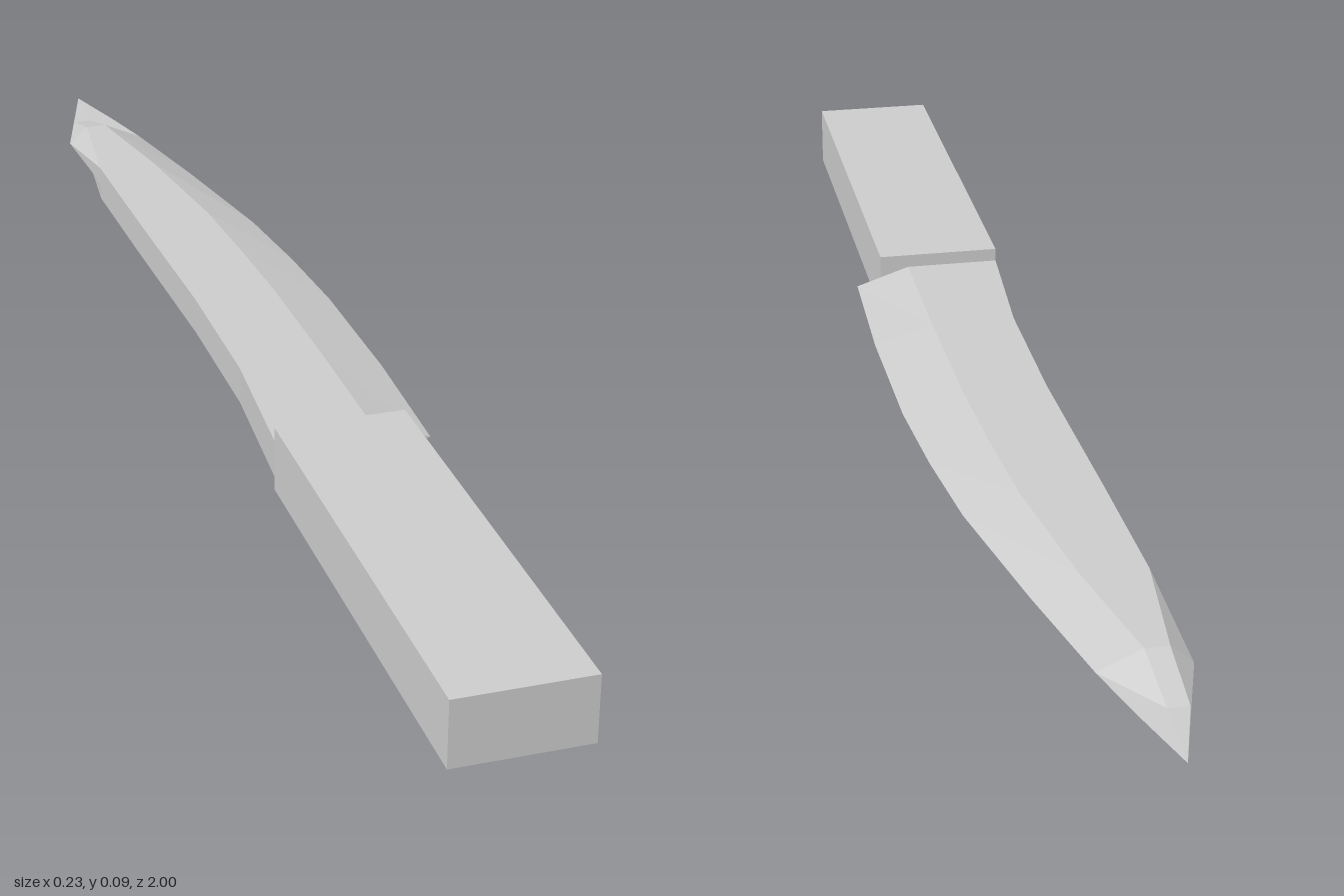
import * as THREE from 'three';

const MID = 0.045; // height of the blade's centre plane

// Stations from handle to tip: z, spine centre x, spine corner x, ridge x, edge x, half thickness
const STATIONS = [
  [0.345, -0.105, -0.105, 0.03, 0.108, 0.026],
  [0.13, -0.09, -0.09, 0.03, 0.114, 0.026],
  [-0.1, -0.09, -0.09, 0.027, 0.111, 0.026],
  [-0.25, -0.095, -0.095, 0.02, 0.1, 0.026],
  [-0.4, -0.1, -0.1, 0.01, 0.083, 0.026],
  [-0.62, -0.106, -0.106, -0.02, 0.041, 0.026],
  [-0.8, -0.115, -0.086, -0.055, 0.002, 0.026],
  [-0.89, -0.088, -0.087, -0.06, -0.022, 0.001],
  [-1, -0.055, -0.055, -0.055, -0.055, 0],
];

// Six-sided loops: spine, upper corner, upper ridge, edge, lower ridge, lower corner
function bladeGeometry() {
  const positions = [];
  const index = [];
  for (const [z, spine, corner, ridge, edge, h] of STATIONS) {
    positions.push(
      spine, MID, z, corner, MID + h, z, ridge, MID + h, z,
      edge, MID, z, ridge, MID - h, z, corner, MID - h, z,
    );
  }
  for (let s = 0; s < STATIONS.length - 1; s++) {
    for (let i = 0; i < 6; i++) {
      const a = s * 6 + i;
      const b = s * 6 + ((i + 1) % 6);
      index.push(a, b, a + 6, b, b + 6, a + 6);
    }
  }
  // End cap against the handle
  for (let i = 1; i < 5; i++) index.push(0, i + 1, i);
  const geometry = new THREE.BufferGeometry();
  geometry.setAttribute('position', new THREE.Float32BufferAttribute(positions, 3));
  geometry.setIndex(index);
  const flat = geometry.toNonIndexed();
  flat.computeVertexNormals();
  return flat;
}

export function createModel() {
  const model = new THREE.Group();
  model.name = 'knife';
  const grey = new THREE.MeshStandardMaterial({ color: 0xcccccc, flatShading: true, side: THREE.DoubleSide });
  grey.name = 'light grey';

  // Plain block grip
  const handle = new THREE.Mesh(new THREE.BoxGeometry(0.177, 0.09, 0.655), grey);
  handle.name = 'handle';
  handle.position.set(-0.0165, 0.045, 0.6725);

  // Curved single-edged blade with a clipped point
  const blade = new THREE.Mesh(bladeGeometry(), grey);
  blade.name = 'blade';

  model.add(handle, blade);
  return model;
}
